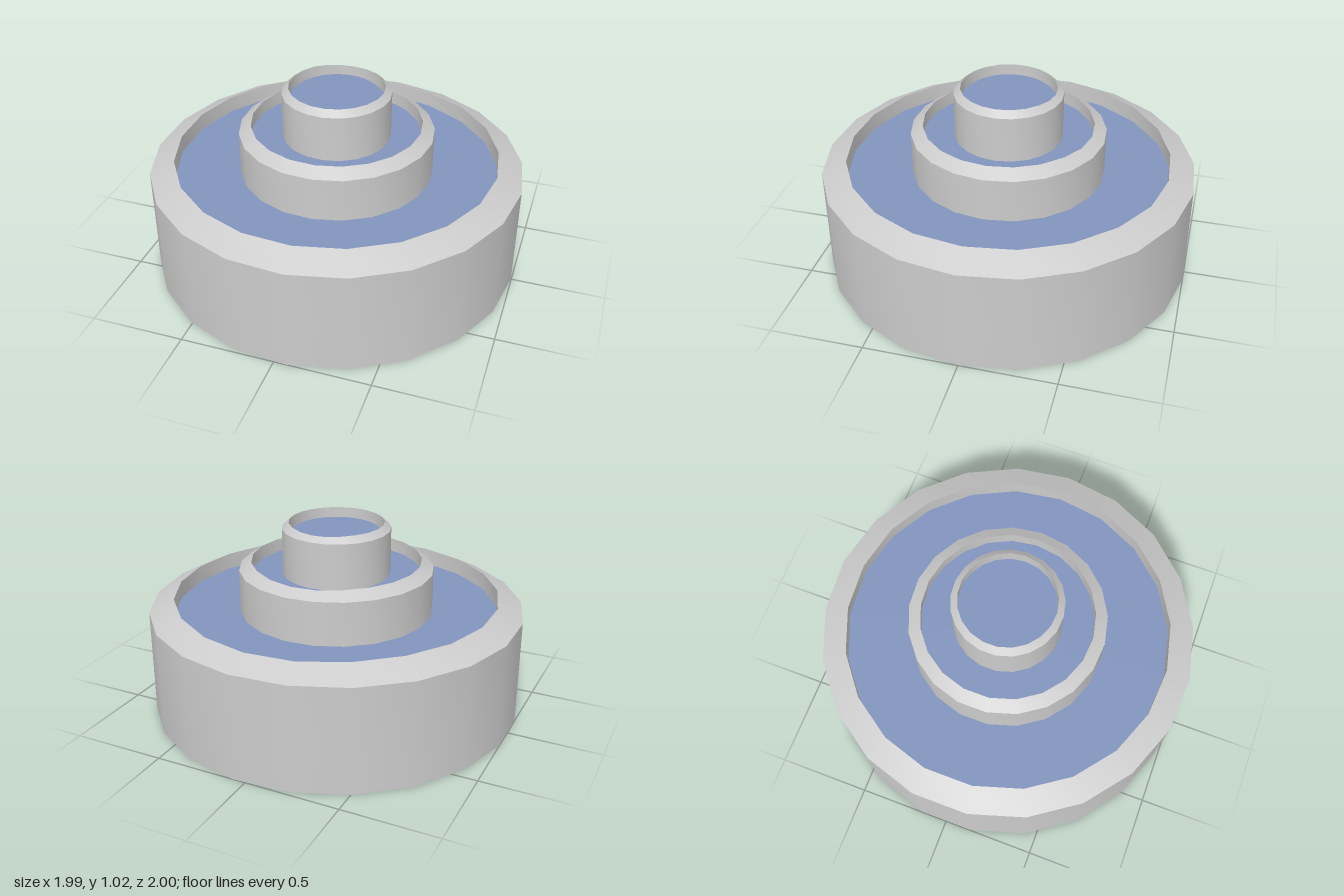
import * as THREE from 'three';
import { toCreasedNormals } from 'three/addons/utils/BufferGeometryUtils.js';

const SIDES = 21;
const stone = new THREE.MeshStandardMaterial({ color: 0xcccccc, side: THREE.DoubleSide });
const water = new THREE.MeshStandardMaterial({ color: 0x8194bd });

// Open basin with a sloping rim; its inner lip dips slightly at the back.
function basin(name, { bottom, shoulder, top, floor, outer, inner, dip }) {
  const profile = [[0, bottom], [outer, bottom], [outer, shoulder], [inner, top], [inner, floor], [0, floor]]
    .map(([r, y]) => new THREE.Vector2(r, y));
  const geometry = new THREE.LatheGeometry(profile, SIDES, Math.PI / 2);
  const p = geometry.attributes.position;
  for (let i = 0; i < p.count; i++) {
    if (Math.abs(p.getY(i) - top) > 1e-4) continue;
    const back = Math.max(0, -p.getZ(i) / inner - 0.79) / 0.21;
    p.setY(i, top - dip * back);
  }
  const mesh = new THREE.Mesh(toCreasedNormals(geometry, Math.PI / 6), stone);
  mesh.name = name;
  return mesh;
}

// Flat water surface.
function pool(name, radius, y, sides = SIDES) {
  const mesh = new THREE.Mesh(new THREE.CircleGeometry(radius, sides).rotateX(-Math.PI / 2), water);
  mesh.position.y = y;
  mesh.name = name;
  return mesh;
}

export function createModel() {
  const fountain = new THREE.Group();
  fountain.name = 'tieredFountain';

  // Three stacked basins
  fountain.add(
    basin('lowerBasin', { bottom: 0, shoulder: 0.565, top: 0.632, floor: 0.5, outer: 1.003, inner: 0.87, dip: 0.011 }),
    basin('middleBasin', { bottom: 0.51, shoulder: 0.775, top: 0.818, floor: 0.7, outer: 0.52, inner: 0.455, dip: 0.009 }),
    basin('upperBasin', { bottom: 0.71, shoulder: 0.992, top: 1.024, floor: 0.92, outer: 0.288, inner: 0.253, dip: 0.006 }),
  );

  // Water in each basin, with a raised disc in the uppermost one
  fountain.add(
    pool('lowerWater', 0.87, 0.54),
    pool('middleWater', 0.455, 0.745),
    pool('upperWater', 0.253, 0.955),
    pool('upperWaterDisc', 0.23, 0.975, 42),
  );

  // An odd number of sides sits slightly off centre
  fountain.children.forEach((part) => { part.position.x = -0.0055; });
  return fountain;
}
